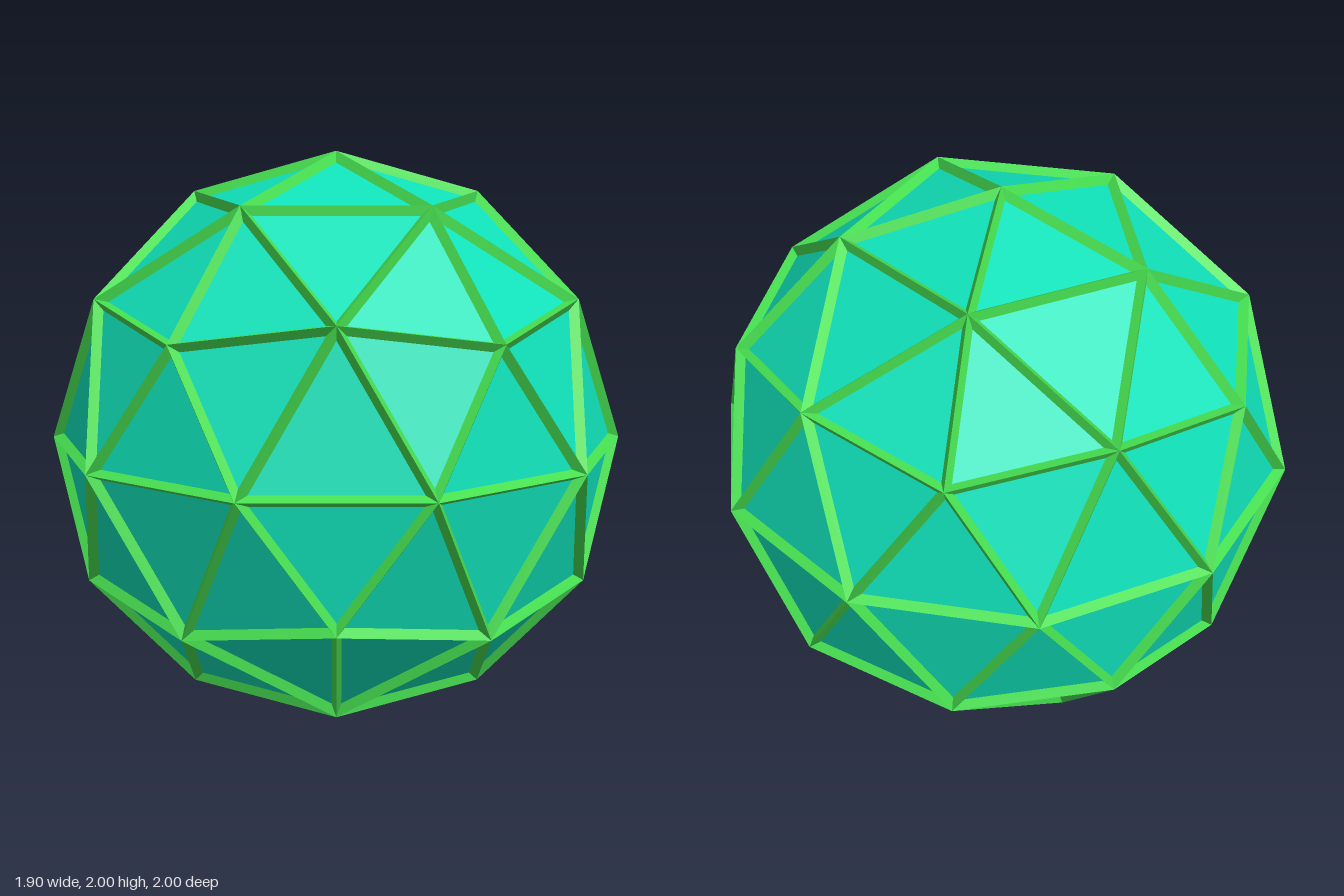
import * as THREE from 'three';

const INSET = 0.022; // width of one side of a strut ridge
const DEPTH = 0.027; // how far panels sit below the ridges

// Icosahedron standing on a vertex, each edge split in two and pushed to the unit sphere
function geodesicSphere() {
  const verts = [0, 1, 0, 0, -1, 0];
  const faces = [];
  const h = 1 / Math.sqrt(5), r = 2 / Math.sqrt(5);
  for (let k = 0; k < 5; k++) {
    const a = (k * 2 * Math.PI) / 5, b = a + Math.PI / 5;
    verts.push(r * Math.cos(a), h, r * Math.sin(a));
    verts.push(r * Math.cos(b), -h, r * Math.sin(b));
  }
  const up = (k) => 2 + 2 * (k % 5);
  const low = (k) => 3 + 2 * (k % 5);
  for (let k = 0; k < 5; k++) {
    faces.push(0, up(k + 1), up(k));
    faces.push(up(k), up(k + 1), low(k));
    faces.push(low(k + 1), low(k), up(k + 1));
    faces.push(1, low(k), low(k + 1));
  }
  return new THREE.PolyhedronGeometry(verts, faces, 1, 1);
}

function flatMesh(name, points, material) {
  const geometry = new THREE.BufferGeometry().setFromPoints(points);
  geometry.computeVertexNormals();
  const mesh = new THREE.Mesh(geometry, material);
  mesh.name = name;
  mesh.position.y = 1;
  return mesh;
}

export function createModel() {
  const panelMaterial = new THREE.MeshStandardMaterial({ color: 0x10e2ba });
  panelMaterial.name = 'turquoise panel';
  const strutMaterial = new THREE.MeshStandardMaterial({ color: 0x46de50 });
  strutMaterial.name = 'green strut';

  const position = geodesicSphere().getAttribute('position');
  const panels = [], struts = [];
  const triangle = new THREE.Triangle();
  const normal = new THREE.Vector3();

  for (let i = 0; i < position.count; i += 3) {
    const p = [0, 1, 2].map((j) => new THREE.Vector3().fromBufferAttribute(position, i + j));
    triangle.set(...p);
    triangle.getNormal(normal);

    // Incentre and inradius give an even border along all three edges
    const side = p.map((_, j) => p[(j + 1) % 3].distanceTo(p[(j + 2) % 3]));
    const perimeter = side[0] + side[1] + side[2];
    const centre = new THREE.Vector3();
    p.forEach((v, j) => centre.addScaledVector(v, side[j] / perimeter));
    const inradius = (2 * triangle.getArea()) / perimeter;
    const q = p.map((v) => v.clone().lerp(centre, INSET / inradius).addScaledVector(normal, -DEPTH));

    // Sunken panel, framed by three sloping strut sides
    panels.push(...q);
    for (let j = 0; j < 3; j++) {
      const n = (j + 1) % 3;
      struts.push(p[j], p[n], q[n], p[j], q[n], q[j]);
    }
  }

  const group = new THREE.Group();
  group.name = 'geodesicSphere';
  group.add(flatMesh('panels', panels, panelMaterial), flatMesh('struts', struts, strutMaterial));
  return group;
}
